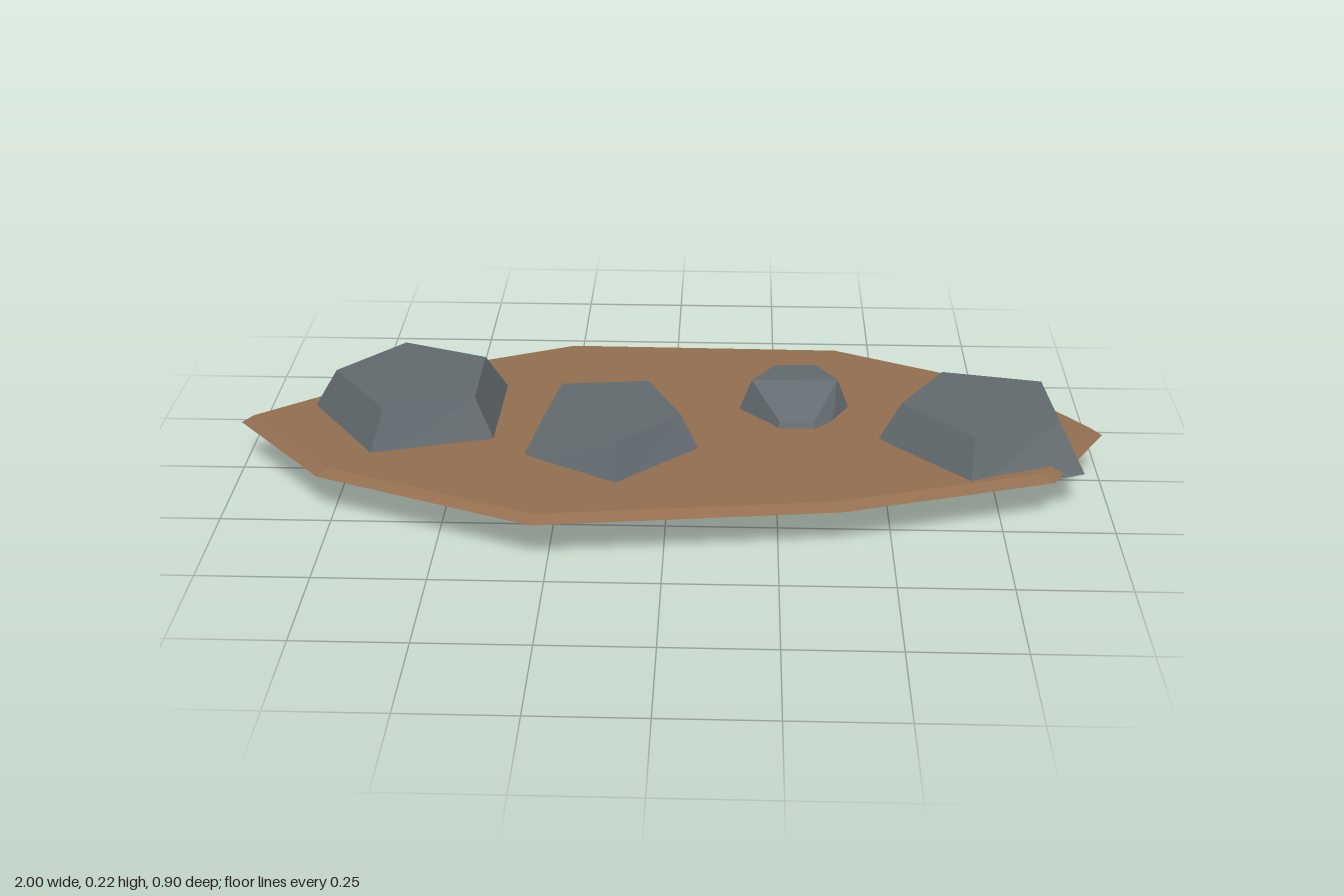
import * as THREE from 'three';

// Convex frustum between two matching loops of [x, y, z], clockwise from above
function frustum(name, bottom, top, material) {
  const pos = [];
  const tri = (a, b, c) => pos.push(...a, ...b, ...c);
  const n = bottom.length;
  for (let i = 0; i < n; i++) {
    const j = (i + 1) % n;
    tri(bottom[j], bottom[i], top[i]);
    tri(bottom[j], top[i], top[j]);
    if (i > 0 && i < n - 1) {
      tri(top[0], top[j], top[i]);
      tri(bottom[0], bottom[i], bottom[j]);
    }
  }
  const geometry = new THREE.BufferGeometry();
  geometry.setAttribute('position', new THREE.Float32BufferAttribute(pos, 3));
  geometry.computeVertexNormals();
  const mesh = new THREE.Mesh(geometry, material);
  mesh.name = name;
  return mesh;
}

// Lift [x, z] points to a height
const at = (y, loop) => loop.map(([x, z]) => [x, y, z]);

export function createModel() {
  const group = new THREE.Group();
  group.name = 'rockPatch';
  const earth = new THREE.MeshStandardMaterial({ name: 'earth brown', color: 0x946f50, flatShading: true });
  const stone = new THREE.MeshStandardMaterial({ name: 'stone grey', color: 0x636b70, flatShading: true });

  // Thin patch of ground with a bevelled rim
  const outline = [
    [-1, -0.02], [-0.685, -0.265], [-0.26, -0.455], [0.41, -0.447], [0.825, -0.245],
    [1, -0.02], [0.86, 0.22], [0.385, 0.37], [-0.28, 0.45], [-0.775, 0.245],
  ];
  const rim = outline.map(([x, z]) => [x * 0.97, z * 0.962]);
  group.add(frustum('ground', at(0.108, outline), at(0.127, rim), earth));

  // Three five-sided stones resting in the ground
  const stones = [
    {
      name: 'largeLeftRock', height: 0.218,
      base: [[-0.675, -0.325], [-0.38, -0.21], [-0.385, 0.09], [-0.675, 0.175], [-0.85, -0.08]],
      top: [[-0.64, -0.242], [-0.44, -0.165], [-0.44, 0.055], [-0.64, 0.12], [-0.78, -0.08]],
    },
    {
      name: 'middleRock', height: 0.204,
      base: [[-0.28, -0.083], [-0.02, -0.112], [0.083, 0.12], [-0.107, 0.302], [-0.333, 0.167]],
      top: [[-0.25, -0.053], [-0.05, -0.075], [0.03, 0.1], [-0.11, 0.242], [-0.28, 0.135]],
    },
    {
      name: 'largeRightRock', height: 0.212,
      base: [[0.61, -0.192], [0.89, -0.125], [0.935, 0.16], [0.67, 0.267], [0.465, 0.055]],
      top: [[0.635, -0.13], [0.86, -0.085], [0.875, 0.115], [0.68, 0.21], [0.53, 0.04]],
    },
  ];
  for (const s of stones) {
    group.add(frustum(s.name, at(0.1, s.base), at(s.height, s.top), stone));
  }

  // Small rock passing through the ground, its top sloping down at the front
  const smallBase = [[0.115, -0.09], [0.24, -0.245], [0.375, -0.255], [0.465, -0.12], [0.36, 0.08], [0.22, 0.08]];
  const smallTop = [
    ...at(0.2, [[0.19, -0.095], [0.245, -0.18], [0.34, -0.185], [0.39, -0.107]]),
    ...at(0.14, [[0.335, 0], [0.255, 0]]),
  ];
  group.add(frustum('smallRock', at(0, smallBase), smallTop, stone));

  return group;
}
